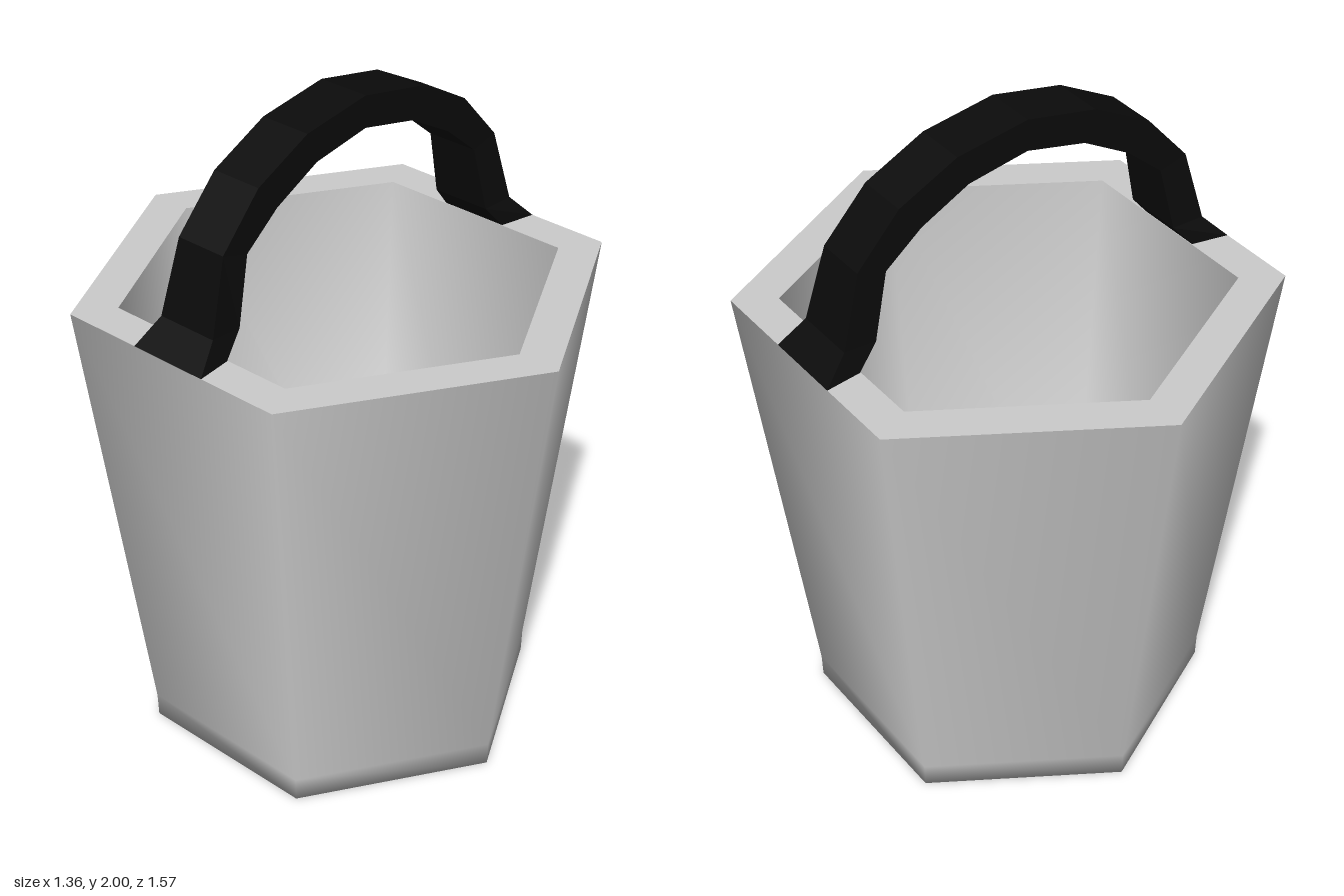
import * as THREE from 'three';

const grey = new THREE.MeshStandardMaterial({ color: 0xcccccc });
const black = new THREE.MeshStandardMaterial({ color: 0x0b0b0b, flatShading: true });

// Six-sided surface of revolution with corners on +z and -z
function hexLathe(name, profile) {
  const points = profile.map(([r, y]) => new THREE.Vector2(r, y));
  const mesh = new THREE.Mesh(new THREE.LatheGeometry(points, 6), grey);
  mesh.name = name;
  return mesh;
}

// Four-cornered cross-sections swept over the arch
function handleGeometry() {
  // outer x, outer y, inner x, inner y, outer half width, inner half width
  const half = [
    [0.68, 1.42, 0.565, 1.42, 0.13, 0.11],
    [0.605, 1.495, 0.503, 1.49, 0.1, 0.096],
    [0.545, 1.715, 0.457, 1.69, 0.084, 0.084],
    [0.41, 1.865, 0.342, 1.785, 0.083, 0.083],
    [0.225, 1.96, 0.19, 1.867, 0.083, 0.083],
    [0, 2, 0, 1.905, 0.083, 0.083],
  ];
  const mirrored = half.map(([ox, oy, ix, iy, ow, iw]) => [-ox, oy, -ix, iy, ow, iw]);
  const sections = [...mirrored, ...half.slice(0, -1).reverse()];

  const positions = [];
  const index = [];
  sections.forEach(([ox, oy, ix, iy, ow, iw], i) => {
    positions.push(ox, oy, ow, ox, oy, -ow, ix, iy, -iw, ix, iy, iw);
    if (i === sections.length - 1) return;
    for (let k = 0; k < 4; k++) {
      const a = i * 4 + k;
      const b = i * 4 + ((k + 1) % 4);
      index.push(a, a + 4, b + 4, a, b + 4, b);
    }
  });
  const geometry = new THREE.BufferGeometry();
  geometry.setAttribute('position', new THREE.Float32BufferAttribute(positions, 3));
  geometry.setIndex(index);
  const flat = geometry.toNonIndexed();
  flat.computeVertexNormals();
  return flat;
}

export function createModel() {
  const model = new THREE.Group();
  model.name = 'bucket';

  // Bucket: outside with base, flat rim, inside with floor
  model.add(
    hexLathe('outerWall', [[0, 0], [0.59, 0], [0.593, 0.07], [0.785, 1.42]]),
    hexLathe('rim', [[0.785, 1.42], [0.65, 1.42]]),
    hexLathe('innerWall', [[0.65, 1.42], [0.49, 0.07], [0, 0.07]]),
  );

  // Arched handle with flared feet
  const handle = new THREE.Mesh(handleGeometry(), black);
  handle.name = 'handle';
  model.add(handle);

  return model;
}
